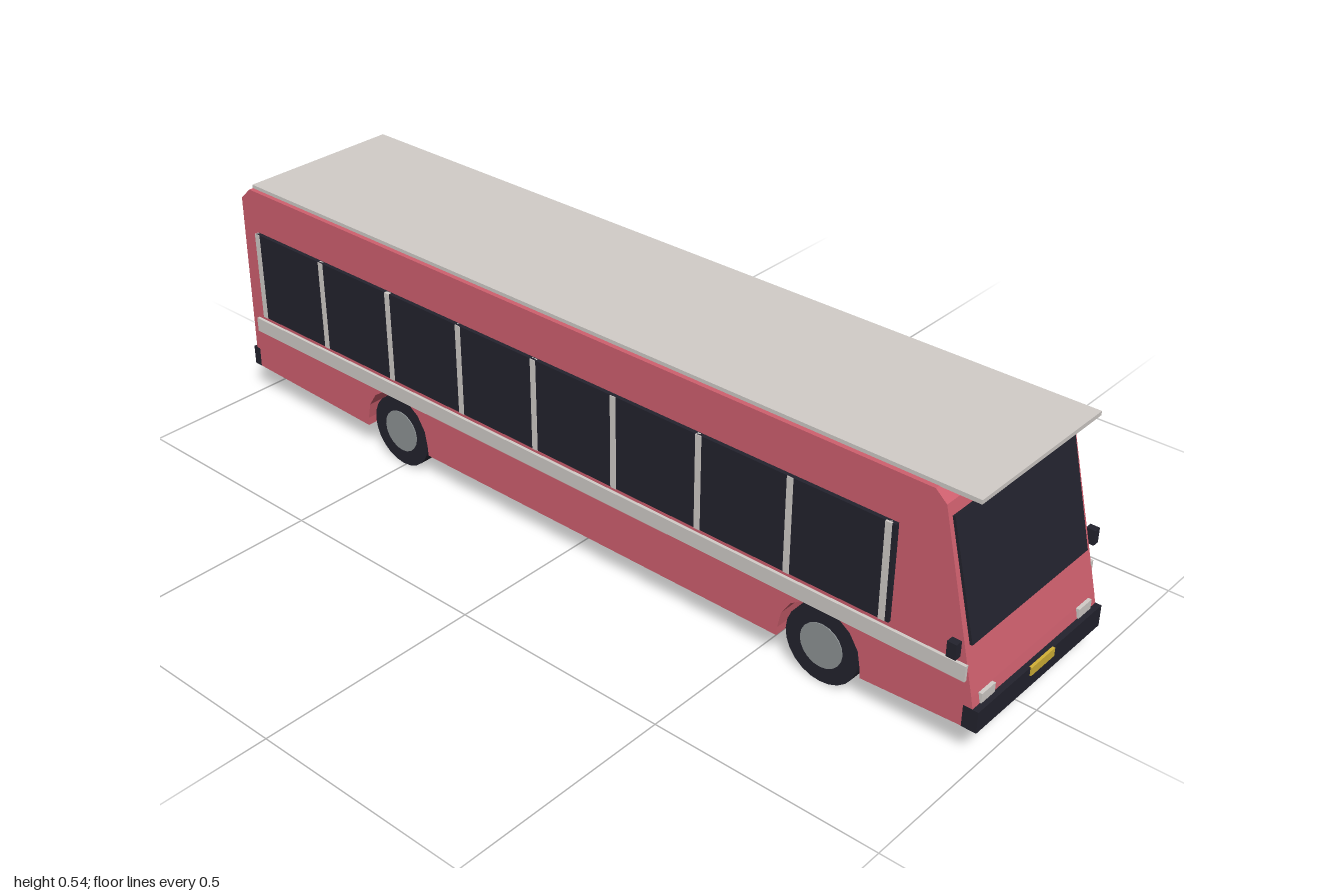
import * as THREE from 'three';

const mat = (name, color, extra = {}) => new THREE.MeshStandardMaterial({ name, color, ...extra });

export function createModel() {
  const red = mat('body red', 0xd0606f);
  const dark = mat('dark glass and rubber', 0x23232e);
  const pale = mat('pale trim', 0xd2cdc9);
  const blue = mat('door blue', 0x3d5363);
  const grey = mat('hub grey', 0x8f9496);
  const yellow = mat('plate yellow', 0xd2b236);
  const tail = mat('tail light red', 0x9c3440);

  const bus = new THREE.Group();
  bus.name = 'bus';
  const add = (name, geometry, material, parent = bus) => {
    const mesh = new THREE.Mesh(geometry, material);
    mesh.name = name;
    parent.add(mesh);
    return mesh;
  };
  // Box given by its limits on each axis
  const box = (name, material, [x0, x1], [y0, y1], [z0, z1]) => {
    const mesh = add(name, new THREE.BoxGeometry(x1 - x0, y1 - y0, z1 - z0), material);
    mesh.position.set((x0 + x1) / 2, (y0 + y1) / 2, (z0 + z1) / 2);
    return mesh;
  };

  // Body: side profile with wheel arches running the full width
  const wheelX = [-0.507, 0.648];
  const wheelY = 0.084;
  const profile = [[-0.99, 0.077]];
  for (const cx of wheelX) {
    profile.push([cx - 0.097, 0.065]);
    for (let i = 0; i <= 8; i++) {
      const a = Math.PI * (1 - i / 8);
      profile.push([cx + 0.096 * Math.cos(a), wheelY + 0.098 * Math.sin(a)]);
    }
    profile.push([cx + 0.097, 0.065]);
  }
  profile.push([0.975, 0.076], [0.984, 0.122], [0.979, 0.145], [0.89, 0.508],
    [0.865, 0.53], [-0.962, 0.53], [-0.992, 0.502]);
  const shape = new THREE.Shape(profile.map(([x, y]) => new THREE.Vector2(x, y)));
  const body = new THREE.ExtrudeGeometry(shape, { depth: 2, bevelEnabled: false });
  body.translate(0, 0, -1);
  // Sides lean in slightly towards the roof
  const p = body.attributes.position;
  for (let i = 0; i < p.count; i++) {
    p.setZ(i, p.getZ(i) * (0.2105 - 0.013 * (p.getY(i) - 0.065)));
  }
  body.computeVertexNormals();
  add('body', body, red);
  box('roofPanel', pale, [-0.963, 0.95], [0.529, 0.538], [-0.194, 0.194]);

  // Window bands, pillars and stripes on both sides
  for (const s of [1, -1]) {
    const side = (a, b) => (s > 0 ? [a, b] : [-b, -a]);
    box('sideWindows', dark, [-0.94, 0.8], [0.222, 0.432], side(0.2065, 0.2155));
    for (let i = 0; i < 9; i++) {
      const x = -0.935 + i * 0.215;
      box('windowPillar', pale, [x - 0.007, x + 0.007], [0.222, 0.432], side(0.208, 0.217));
    }
    box('sideStripe', pale, [-0.97, 0.965], [0.175, 0.209], side(0.2075, 0.2155));
    box('mirror', dark, [0.937, 0.957], [0.233, 0.266], side(0.224, 0.24));
    box('headlight', pale, [0.979, 0.987], [0.123, 0.144], side(0.143, 0.187));
    box('tailLight', tail, [-0.997, -0.989], [0.15, 0.182], side(0.155, 0.192));
  }

  // Doors on one side only
  for (const x of [-0.24, 0.67]) box('door', blue, [x, x + 0.158], [0.08, 0.489], [-0.2185, -0.2095]);

  // Windscreen lies on the sloping front
  const slope = Math.atan2(0.089, 0.363);
  const screen = add('windscreen', new THREE.BoxGeometry(0.008, 0.25, 0.388), dark);
  screen.position.set(0.979 - (0.362 - 0.145) * (0.089 / 0.363) + 0.002, 0.362, 0);
  screen.rotation.z = slope;
  box('rearWindow', dark, [-0.998, -0.99], [0.25, 0.412], [-0.19, 0.19]);

  // Bumpers and number plate
  box('frontBumper', dark, [0.965, 0.997], [0.075, 0.122], [-0.2108, 0.2108]);
  box('rearBumper', dark, [-1, -0.98], [0.077, 0.122], [-0.2108, 0.2108]);
  box('numberPlate', yellow, [0.994, 1], [0.103, 0.122], [-0.04, 0.04]);

  // Wheels
  for (const x of wheelX) for (const s of [1, -1]) {
    const wheel = new THREE.Group();
    wheel.name = 'wheel';
    wheel.position.set(x, wheelY, s * 0.1755);
    const tyre = add('tyre', new THREE.CylinderGeometry(0.084, 0.084, 0.047, 24), dark, wheel);
    const hub = add('hub', new THREE.CylinderGeometry(0.049, 0.049, 0.051, 20), grey, wheel);
    tyre.rotation.x = hub.rotation.x = Math.PI / 2;
    bus.add(wheel);
  }
  return bus;
}
